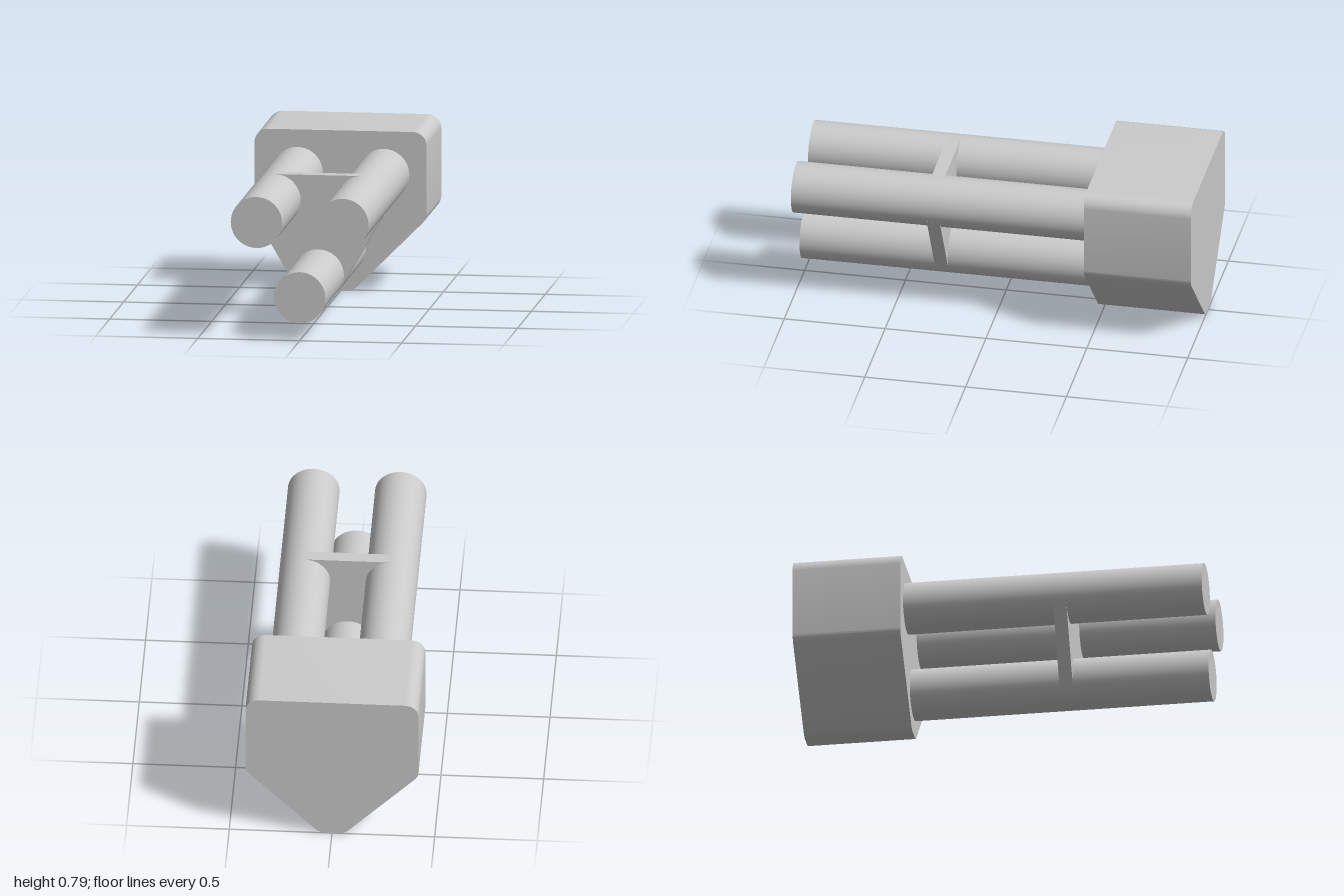
import * as THREE from 'three';
import { toCreasedNormals } from 'three/addons/utils/BufferGeometryUtils.js';

const RADIUS = 0.126;
const BLOCK_FRONT = -0.47;
const TUBE_CENTRES = [[-0.212, 0.578], [0, 0.212], [0.212, 0.578]];

// Closed outline whose corners [x, y] are rounded by arcs of one radius
function roundedOutline(corners, radius) {
  const points = corners.map(([x, y]) => new THREE.Vector2(x, y));
  const shape = new THREE.Shape();
  points.forEach((p, i) => {
    const toPrev = points.at(i - 1).clone().sub(p).normalize();
    const toNext = points[(i + 1) % points.length].clone().sub(p).normalize();
    const half = Math.acos(toPrev.dot(toNext)) / 2;
    const start = p.clone().addScaledVector(toPrev, radius / Math.tan(half));
    const end = p.clone().addScaledVector(toNext, radius / Math.tan(half));
    const c = toPrev.clone().add(toNext).normalize().multiplyScalar(radius / Math.sin(half)).add(p);
    if (i === 0) shape.moveTo(start.x, start.y);
    else shape.lineTo(start.x, start.y);
    shape.absarc(c.x, c.y, radius, start.clone().sub(c).angle(), end.clone().sub(c).angle(), false);
  });
  shape.closePath();
  return shape;
}

// Convex band wrapped tangentially around the three tubes
function webOutline() {
  const points = [];
  TUBE_CENTRES.forEach(([x, y], i) => {
    const [px, py] = TUBE_CENTRES[(i + 2) % 3];
    const [nx, ny] = TUBE_CENTRES[(i + 1) % 3];
    for (const [dx, dy] of [[x - px, y - py], [nx - x, ny - y]]) {
      const k = RADIUS / Math.hypot(dx, dy);
      points.push(new THREE.Vector2(x + dy * k, y - dx * k));
    }
  });
  return new THREE.Shape(points);
}

export function createModel() {
  const group = new THREE.Group();
  const material = new THREE.MeshStandardMaterial({ color: 0xcccccc });

  const add = (name, geometry, x, y, z) => {
    const mesh = new THREE.Mesh(geometry, material);
    mesh.name = name;
    mesh.position.set(x, y, z);
    group.add(mesh);
  };

  const extrude = (shape, depth) => toCreasedNormals(
    new THREE.ExtrudeGeometry(shape, { depth, bevelEnabled: false, curveSegments: 10 }), 0.5);

  // Rear block with a tapered lower half
  const outline = roundedOutline([
    [-0.06, 0], [0.06, 0], [0.422, 0.362], [0.422, 0.79], [-0.422, 0.79], [-0.422, 0.362],
  ], 0.067);
  add('rearBlock', extrude(outline, 1 + BLOCK_FRONT), 0, 0, -1);

  // Three long tubes reaching forward from the block
  const length = 1 - BLOCK_FRONT;
  const tube = new THREE.CylinderGeometry(RADIUS, RADIUS, length, 40).rotateX(Math.PI / 2);
  const names = ['upperRightTube', 'lowerTube', 'upperLeftTube'];
  TUBE_CENTRES.forEach(([x, y], i) => add(names[i], tube, x, y, BLOCK_FRONT + length / 2));

  // Thin plate bracing the tubes
  add('bracingPlate', extrude(webOutline(), 0.065), 0, 0, 0.265);

  return group;
}
